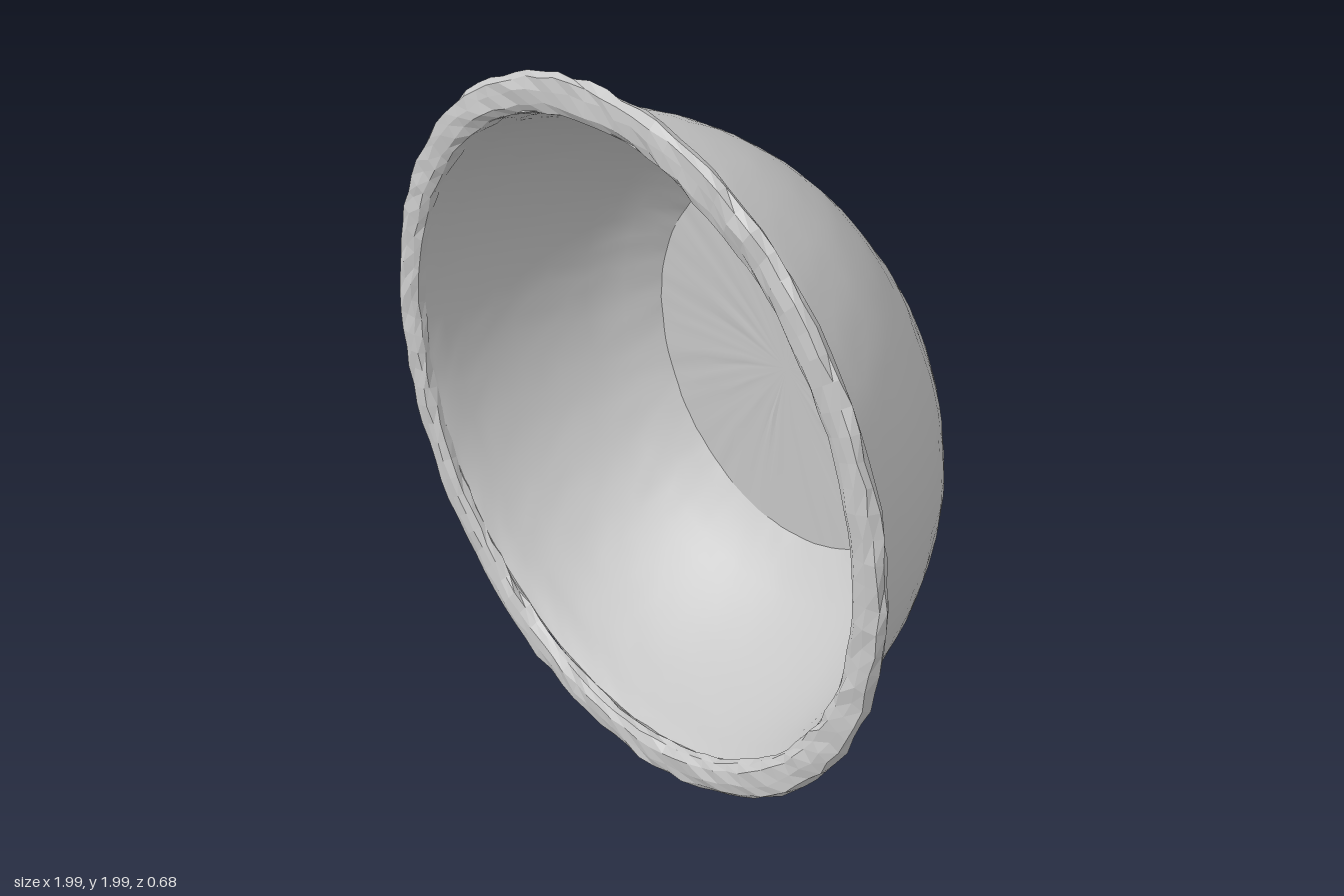
import * as THREE from 'three';
import { toCreasedNormals } from 'three/addons/utils/BufferGeometryUtils.js';

// Repeatable noise in -1..1 that depends only on position, so seams stay closed
function noise(x, y, z, seed) {
  const q = (v) => Math.round(v * 1000);
  const s = Math.sin(q(x) * 12.9898 + q(y) * 78.233 + q(z) * 37.719 + seed * 4.137) * 43758.5453;
  return (s - Math.floor(s)) * 2 - 1;
}

function roughen(geometry, radial, axial) {
  const p = geometry.attributes.position;
  for (let i = 0; i < p.count; i++) {
    const x = p.getX(i), y = p.getY(i), z = p.getZ(i);
    const k = 1 + radial * noise(x, y, z, 1);
    p.setXYZ(i, x * k, y * k, z + axial * noise(x, y, z, 2));
  }
  return geometry;
}

// Revolve a [radius, z] profile about the z axis
function revolve(profile, segments) {
  const points = profile.map(([r, z]) => new THREE.Vector2(r, z));
  return new THREE.LatheGeometry(points, segments).rotateX(Math.PI / 2);
}

function smoothProfile(points, steps) {
  const curve = new THREE.SplineCurve(points.map(([r, z]) => new THREE.Vector2(r, z)));
  return curve.getPoints(steps).map((v) => [v.x, v.y]);
}

export function createModel() {
  const group = new THREE.Group();
  const grey = new THREE.MeshStandardMaterial({ color: 0xc6c6c6 });
  grey.name = 'light grey';
  const rimGrey = grey.clone();
  rimGrey.flatShading = true;

  // Bowl shell: flat base, curved outer wall, curved inner wall, flat floor
  const outer = [[0.57, -0.325], [0.69, -0.21], [0.775, -0.09], [0.84, 0.04], [0.885, 0.17], [0.905, 0.25], [0.915, 0.295]];
  const inner = [[0.895, 0.3], [0.88, 0.25], [0.86, 0.17], [0.815, 0.04], [0.75, -0.09], [0.665, -0.21], [0.545, -0.31]];
  const shell = revolve([
    [0, -0.337], [0.18, -0.337], [0.36, -0.337], [0.545, -0.337],
    ...smoothProfile(outer, 16), ...smoothProfile(inner, 16),
    [0.36, -0.311], [0.18, -0.311], [0, -0.311],
  ], 96);
  const bowl = new THREE.Mesh(toCreasedNormals(roughen(shell, 0.0015, 0.002), 0.5), grey);
  bowl.name = 'bowl';

  // Thin, uneven rim flange with faceted edges
  const flange = revolve([
    [0.89, 0.29], [0.915, 0.278], [0.95, 0.285], [0.98, 0.282], [0.992, 0.3],
    [0.982, 0.317], [0.95, 0.322], [0.915, 0.32], [0.893, 0.308], [0.89, 0.29],
  ], 100);
  roughen(flange, 0.006, 0.005);
  // The flange leans back slightly towards its top
  flange.applyMatrix4(new THREE.Matrix4().makeShear(0, 0, 0, -0.008, 0, 0));
  const p = flange.attributes.position;
  for (let i = 0; i < p.count; i++) p.setZ(i, p.getZ(i) + 0.004 - 0.006 * p.getY(i));
  const rim = new THREE.Mesh(flange, rimGrey);
  rim.name = 'rim';

  group.add(bowl, rim);
  for (const mesh of group.children) mesh.position.y = 1;
  return group;
}
